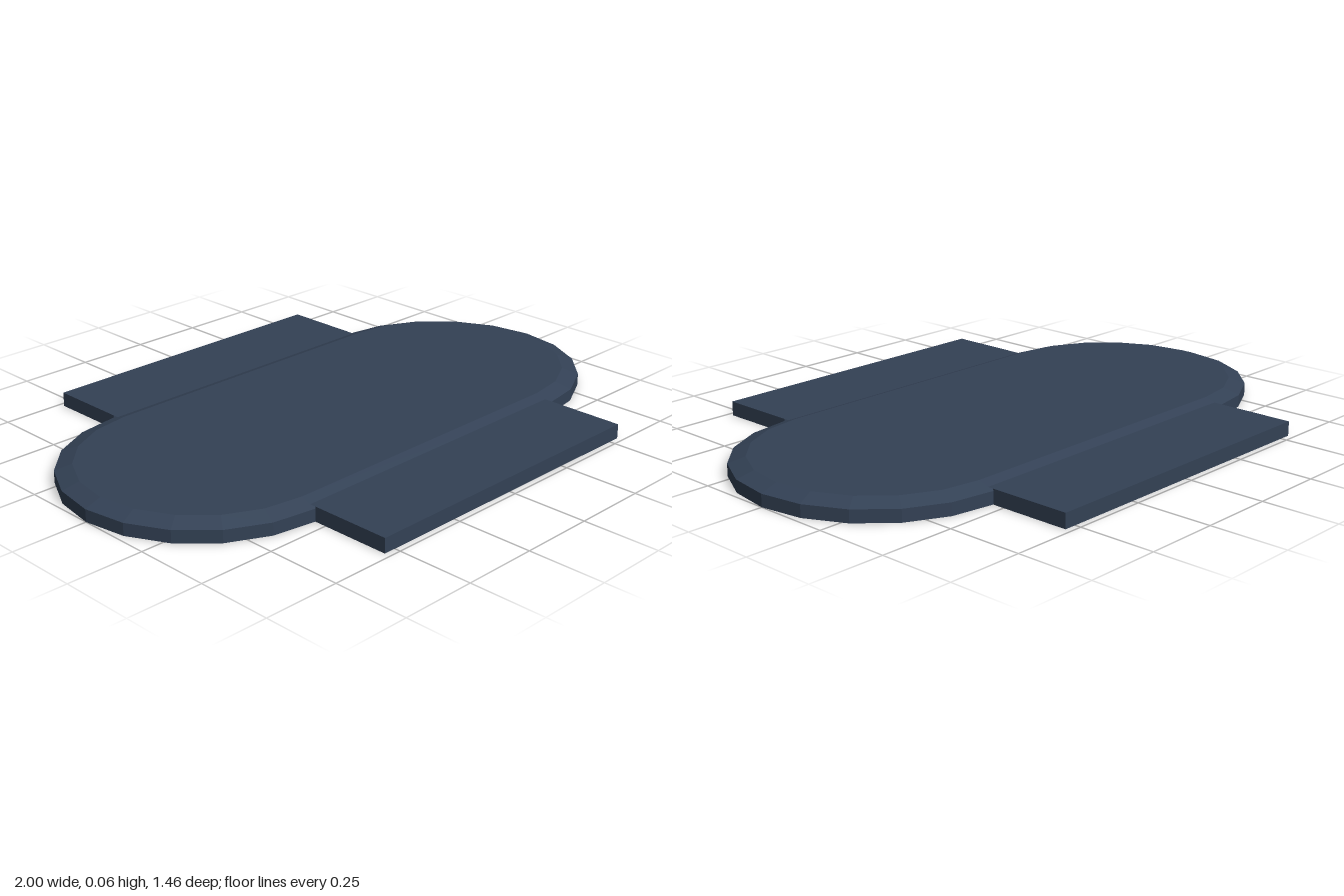
import * as THREE from 'three';
import { mergeGeometries } from 'three/addons/utils/BufferGeometryUtils.js';

// Outlines are lists of [x, z] points.
const toVectors = (pts, flip = 1) => pts.map(([x, z]) => new THREE.Vector2(x, z * flip));

// Flat face at height y, facing up or down, with optional holes
function cap(pts, y, up, holes = []) {
  const flip = up ? -1 : 1;
  const shape = new THREE.Shape(toVectors(pts, flip));
  shape.holes = holes.map(h => new THREE.Path(toVectors(h, flip)));
  const g = new THREE.ShapeGeometry(shape).rotateX(up ? -Math.PI / 2 : Math.PI / 2).translate(0, y, 0);
  g.deleteAttribute('uv');
  return g.toNonIndexed();
}

// Band of quads between a lower and an upper outline; inward for pocket walls
function band(lower, y0, upper, y1, inward = false) {
  const pos = [];
  const flip = THREE.ShapeUtils.isClockWise(toVectors(lower)) !== inward;
  lower.forEach((p, i) => {
    const j = (i + 1) % lower.length;
    const a = [p[0], y0, p[1]], b = [lower[j][0], y0, lower[j][1]];
    const c = [upper[j][0], y1, upper[j][1]], d = [upper[i][0], y1, upper[i][1]];
    const quad = [a, d, c, a, c, b];
    pos.push(...(flip ? quad.reverse() : quad).flat());
  });
  const g = new THREE.BufferGeometry();
  g.setAttribute('position', new THREE.Float32BufferAttribute(pos, 3));
  g.computeVertexNormals();
  return g;
}

// Pocket cut into the underside: walls and ceiling
const POCKET = 0.028;
const pocket = pts => [band(pts, 0, pts, POCKET, true), cap(pts, POCKET, false)];

// Two half circles joined by straight sides
function stadium(r, cx = 0.54, n = 10) {
  const pts = [];
  for (const side of [0, 1])
    for (let i = 0; i <= n; i++) {
      const a = -Math.PI / 2 + Math.PI * (side + i / n);
      pts.push([(side ? -cx : cx) + r * Math.cos(a), r * Math.sin(a)]);
    }
  return pts;
}

const rect = (x, z0, z1) => [[-x, z0], [x, z0], [x, z1], [-x, z1]];
const rotated = pts => pts.map(([x, z]) => [-x, -z]);

export function createModel() {
  const group = new THREE.Group();
  const material = new THREE.MeshStandardMaterial({ color: 0x334155, flatShading: true });
  const add = (name, parts) => {
    const mesh = new THREE.Mesh(mergeGeometries(parts), material);
    mesh.name = name;
    group.add(mesh);
  };

  // Rounded plate with a bevelled rim and three pockets below
  const outer = stadium(0.46), inner = stadium(0.405);
  const endPocket = [[0.71, -0.15], [0.71, 0.15], [0.5, 0.15], [0.41, -0.15]];
  const centrePocket = [[0.25, -0.25], [0.25, 0.25], [-0.25, 0.25], [-0.25, -0.1]];
  const pockets = [centrePocket, endPocket, rotated(endPocket)];
  add('roundedPlate', [
    cap(outer, 0, false, pockets),
    band(outer, 0, outer, 0.041),
    band(outer, 0.041, inner, 0.06),
    cap(inner, 0.06, true),
    ...pockets.flatMap(pocket),
  ]);

  // Front and back wings, each with one pocket below
  const wing = rect(0.54, 0.46, 0.73), wingTop = rect(0.54, 0.435, 0.73);
  const wingPocket = rect(0.165, 0.51, 0.65);
  for (const [name, turn] of [['frontWing', p => p], ['backWing', rotated]]) {
    const o = turn(wing), h = turn(wingPocket);
    add(name, [
      cap(o, 0, false, [h]),
      band(o, 0, o, 0.048),
      cap(turn(wingTop), 0.048, true),
      ...pocket(h),
    ]);
  }
  return group;
}
